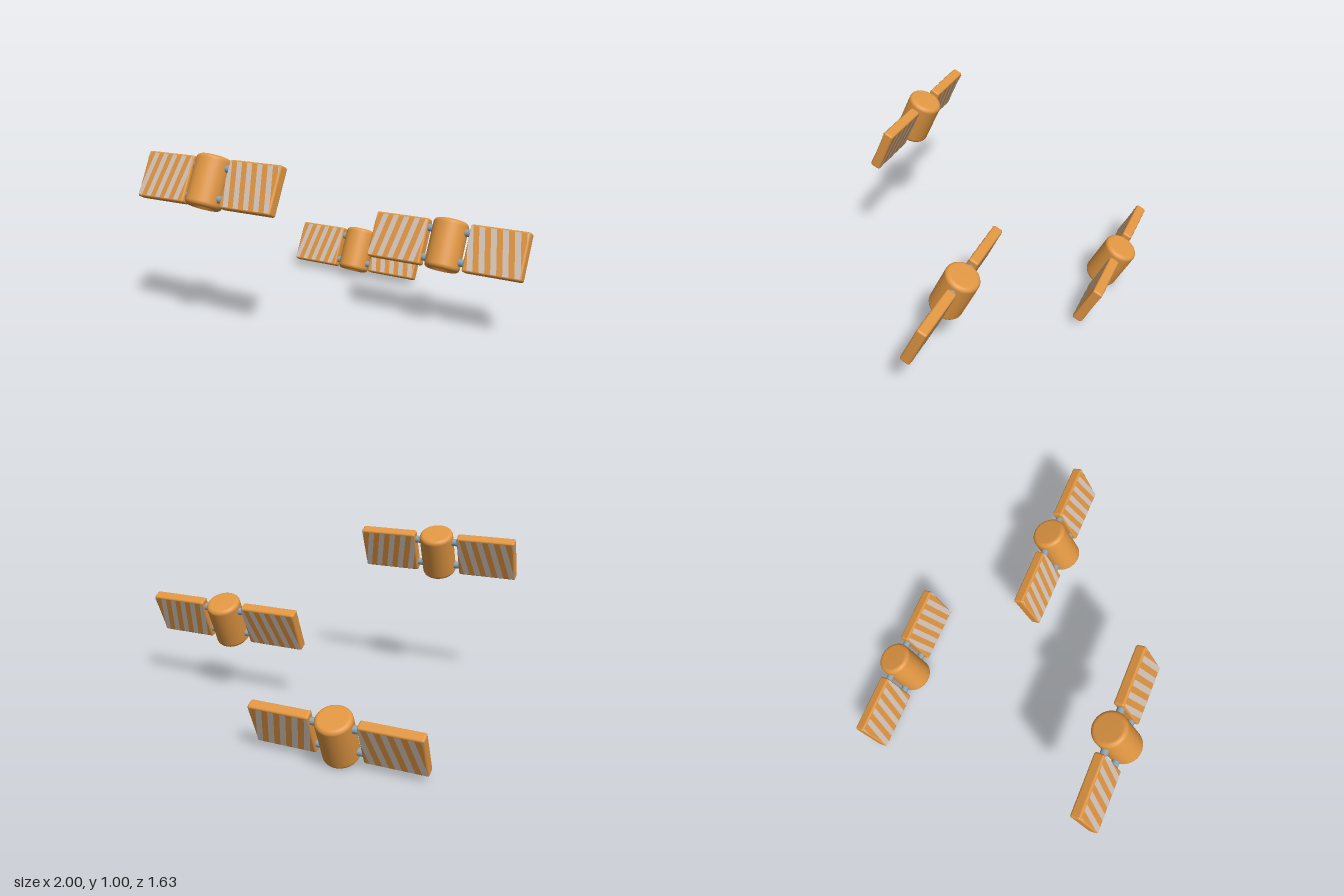
import * as THREE from 'three';
import { RoundedBoxGeometry } from 'three/addons/geometries/RoundedBoxGeometry.js';

const TILT = -0.436;
const PANEL = { w: 0.343, h: 0.268, d: 0.06 };
const BODY = { r: 0.1, half: 0.142, bevel: 0.025 };

function material(name, color, side = THREE.FrontSide) {
  const m = new THREE.MeshStandardMaterial({ color, side });
  m.name = name;
  return m;
}

function part(name, geometry, mat, x = 0, y = 0, z = 0) {
  const mesh = new THREE.Mesh(geometry, mat);
  mesh.name = name;
  mesh.position.set(x, y, z);
  return mesh;
}

// Round body with softened rims, open below for the dish
function bodyGeometry() {
  const { r, half, bevel } = BODY;
  const points = [];
  for (const end of [-1, 1]) {
    for (let i = 0; i <= 6; i++) {
      const a = end * (end < 0 ? 1 - i / 6 : i / 6) * Math.PI / 2;
      points.push(new THREE.Vector2(r - bevel + bevel * Math.cos(a), end * (half - bevel) + bevel * Math.sin(a)));
    }
  }
  points.push(new THREE.Vector2(0, half));
  return new THREE.LatheGeometry(points, 48);
}

// Shallow hollow in the underside
function dishGeometry() {
  const rim = BODY.r - BODY.bevel;
  const points = [];
  for (let i = 0; i <= 8; i++) {
    const t = i / 8;
    points.push(new THREE.Vector2(rim * t, -BODY.half + 0.04 * (1 - t * t)));
  }
  return new THREE.LatheGeometry(points, 48);
}

// One slanted stripe, clamped to the panel face
function stripeGeometry(start, width, slant, side) {
  const hw = PANEL.w / 2 - 0.006, hh = PANEL.h / 2 - 0.01, steps = 12;
  const edge = (offset) => Array.from({ length: steps + 1 }, (_, i) => {
    const t = i / steps;
    const x = THREE.MathUtils.clamp(start + offset + slant * t, -hw, hw);
    return new THREE.Vector2(-side * x, -hh + 2 * hh * t);
  });
  return new THREE.ShapeGeometry(new THREE.Shape([...edge(0), ...edge(width).reverse()]));
}

export function createModel() {
  const orange = material('orange', 0xe09642);
  const pale = material('pale stripe', 0xd6c6ba, THREE.DoubleSide);
  const steel = material('blue grey', 0x8aa4b6);

  const body = bodyGeometry(), dish = dishGeometry();
  const panelBox = new RoundedBoxGeometry(PANEL.w, PANEL.h, PANEL.d, 3, 0.012);
  const rod = new THREE.CylinderGeometry(0.021, 0.021, 0.08, 20).rotateZ(Math.PI / 2);

  // Striped panel, slanting inwards towards the top
  function panel(side) {
    const g = new THREE.Group();
    g.name = side > 0 ? 'leftPanel' : 'rightPanel';
    g.add(part('panelBoard', panelBox, orange));
    const pitch = PANEL.w / 5;
    for (let k = -1; k < 5; k++) {
      const geo = stripeGeometry(-PANEL.w / 2 + k * pitch, pitch / 2, 0.05, side);
      for (const z of [-1, 1]) {
        g.add(part(z > 0 ? 'frontStripe' : 'backStripe', geo, pale, 0, 0, z * (PANEL.d / 2 + 0.0015)));
      }
    }
    g.position.x = side * (0.13 + PANEL.w / 2);
    return g;
  }

  function satellite(x, y, z) {
    const g = new THREE.Group();
    g.name = 'satellite';
    g.add(part('body', body, orange), part('bottomDish', dish, orange));
    for (const side of [-1, 1]) {
      g.add(panel(side));
      for (const y of [-0.085, 0.085]) g.add(part('connectingRod', rod, steel, side * 0.11, y, 0));
    }
    g.rotation.x = TILT;
    g.position.set(x, y, z);
    return g;
  }

  const model = new THREE.Group();
  model.name = 'satellites';
  model.add(
    satellite(-0.527, 0.833, 0.671),
    satellite(0.527, 0.47, -0.075),
    satellite(-0.452, 0.163, -0.671),
  );
  return model;
}
